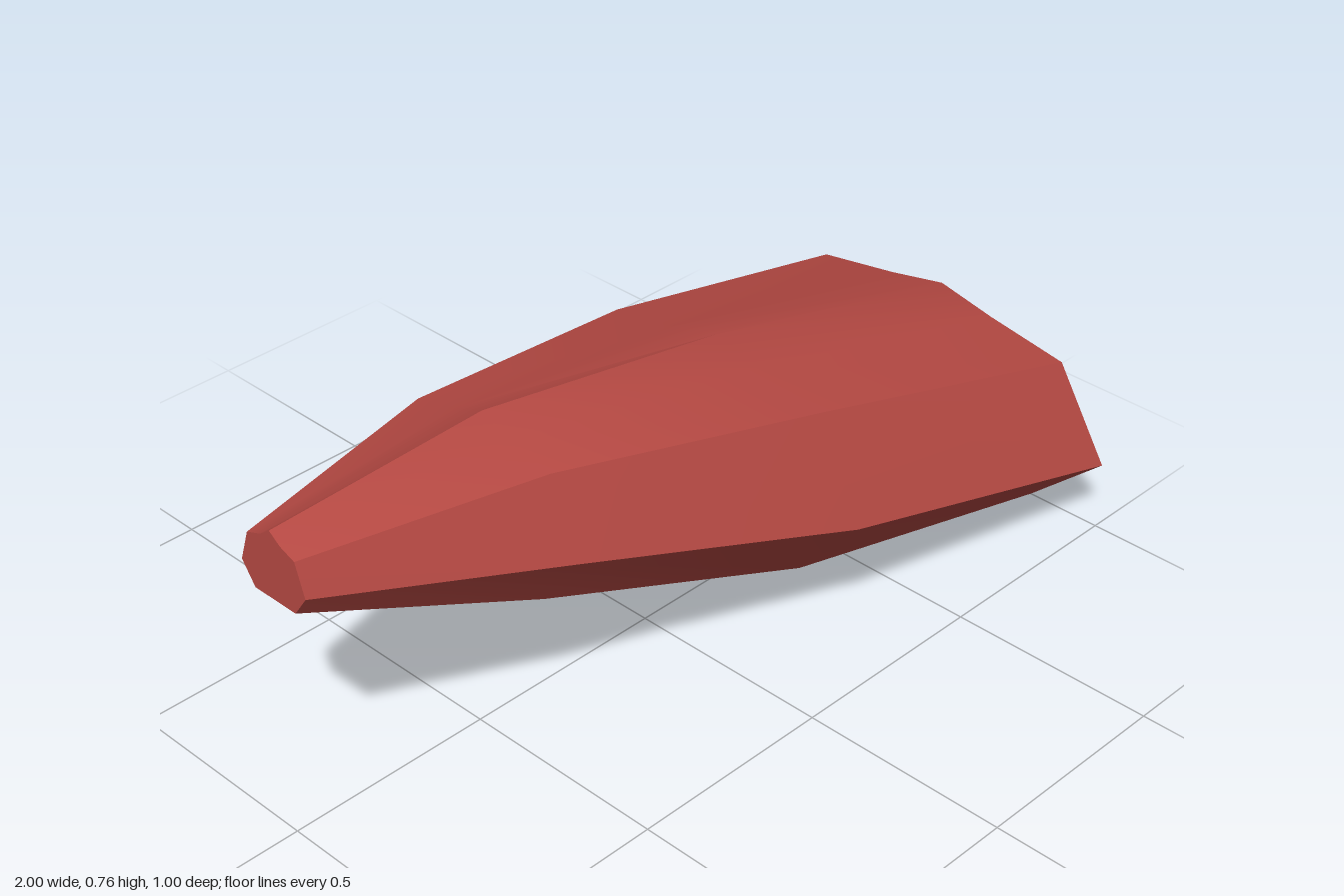
import * as THREE from 'three';
import { toCreasedNormals } from 'three/addons/utils/BufferGeometryUtils.js';

export function createModel() {
  const group = new THREE.Group();
  const red = new THREE.MeshStandardMaterial({ color: 0xb84a44 });
  red.name = 'brick red';

  // Half cross-sections: x, then [z, y] from the bottom edge up to the ridge
  const sections = [
    [-1, [[0.06, 0.58], [0.095, 0.63], [0.07, 0.705], [0.03, 0.72], [0, 0.742]]],
    [-0.46, [[0.168, 0.385], [0.27, 0.523], [0.195, 0.703], [0.08, 0.73], [0, 0.762]]],
    [0.22, [[0.26, 0.158], [0.42, 0.34], [0.304, 0.583], [0.125, 0.616], [0, 0.647]]],
    [1, [[0.31, 0], [0.5, 0.17], [0.36, 0.39], [0.15, 0.424], [0, 0.455]]],
  ];

  // Mirror each half into a closed ring, anticlockwise seen from +x
  const rings = sections.map(([x, half]) => [
    ...half.map(([z, y]) => [x, y, -z]),
    ...half.slice(0, -1).reverse().map(([z, y]) => [x, y, z]),
  ]);
  const n = rings[0].length;
  const positions = [];
  const tri = (...corners) => corners.forEach((p) => positions.push(...p));

  // Sides
  for (let i = 0; i < rings.length - 1; i++) {
    for (let j = 0; j < n; j++) {
      const k = (j + 1) % n;
      const [a, b, c, d] = [rings[i][j], rings[i][k], rings[i + 1][k], rings[i + 1][j]];
      tri(a, b, c);
      tri(a, c, d);
    }
  }

  // End caps
  const small = rings[0];
  const large = rings[rings.length - 1];
  for (let j = 1; j < n - 1; j++) {
    tri(small[0], small[j + 1], small[j]);
    tri(large[0], large[j], large[j + 1]);
  }

  const geometry = new THREE.BufferGeometry();
  geometry.setAttribute('position', new THREE.Float32BufferAttribute(positions, 3));
  const body = new THREE.Mesh(toCreasedNormals(geometry, Math.PI / 6), red);
  body.name = 'taperedBody';
  group.add(body);
  return group;
}
